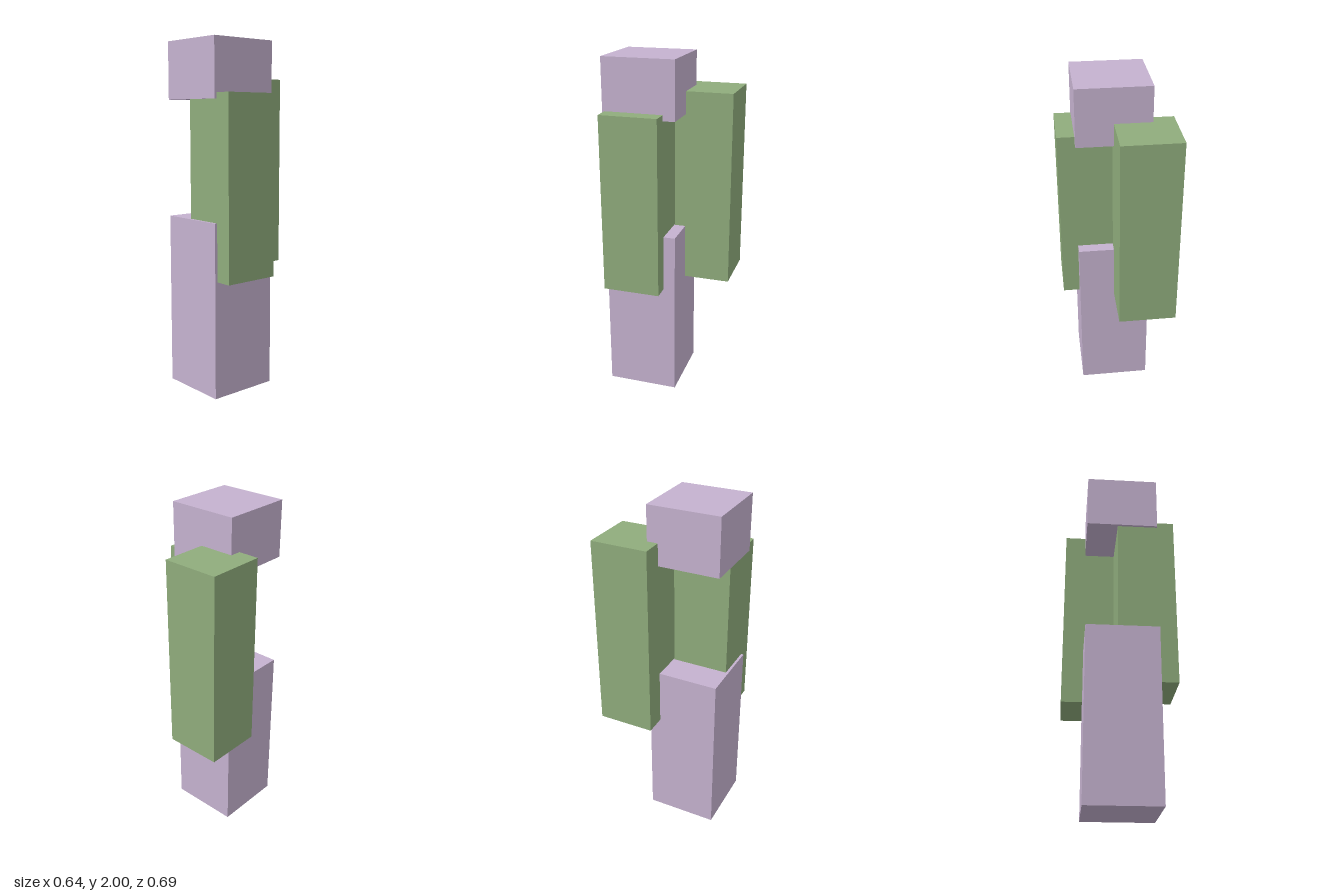
import * as THREE from 'three';

const lilac = new THREE.MeshStandardMaterial({ color: 0xc5b2cf });
const green = new THREE.MeshStandardMaterial({ color: 0x8fac7c });

// Box given by its [min, max] extent on each axis
function block(name, material, [x0, x1], [y0, y1], [z0, z1]) {
  const mesh = new THREE.Mesh(new THREE.BoxGeometry(x1 - x0, y1 - y0, z1 - z0), material);
  mesh.position.set((x0 + x1) / 2, (y0 + y1) / 2, (z0 + z1) / 2);
  mesh.name = name;
  return mesh;
}

export function createModel() {
  const model = new THREE.Group();
  model.name = 'blockTower';

  // Base and cap share one square footprint
  const coreX = [-0.197, 0.22], coreZ = [-0.075, 0.342];
  model.add(block('basePillar', lilac, coreX, [0, 1], coreZ));
  model.add(block('topCap', lilac, coreX, [1.672, 2], coreZ));

  // Two upright blocks, offset diagonally, join base and cap
  model.add(block('frontUpright', green, [-0.015, 0.318], [0.672, 1.705], [-0.007, 0.327]));
  model.add(block('rearUpright', green, [-0.32, 0.013], [0.672, 1.8], [-0.344, -0.011]));

  return model;
}
